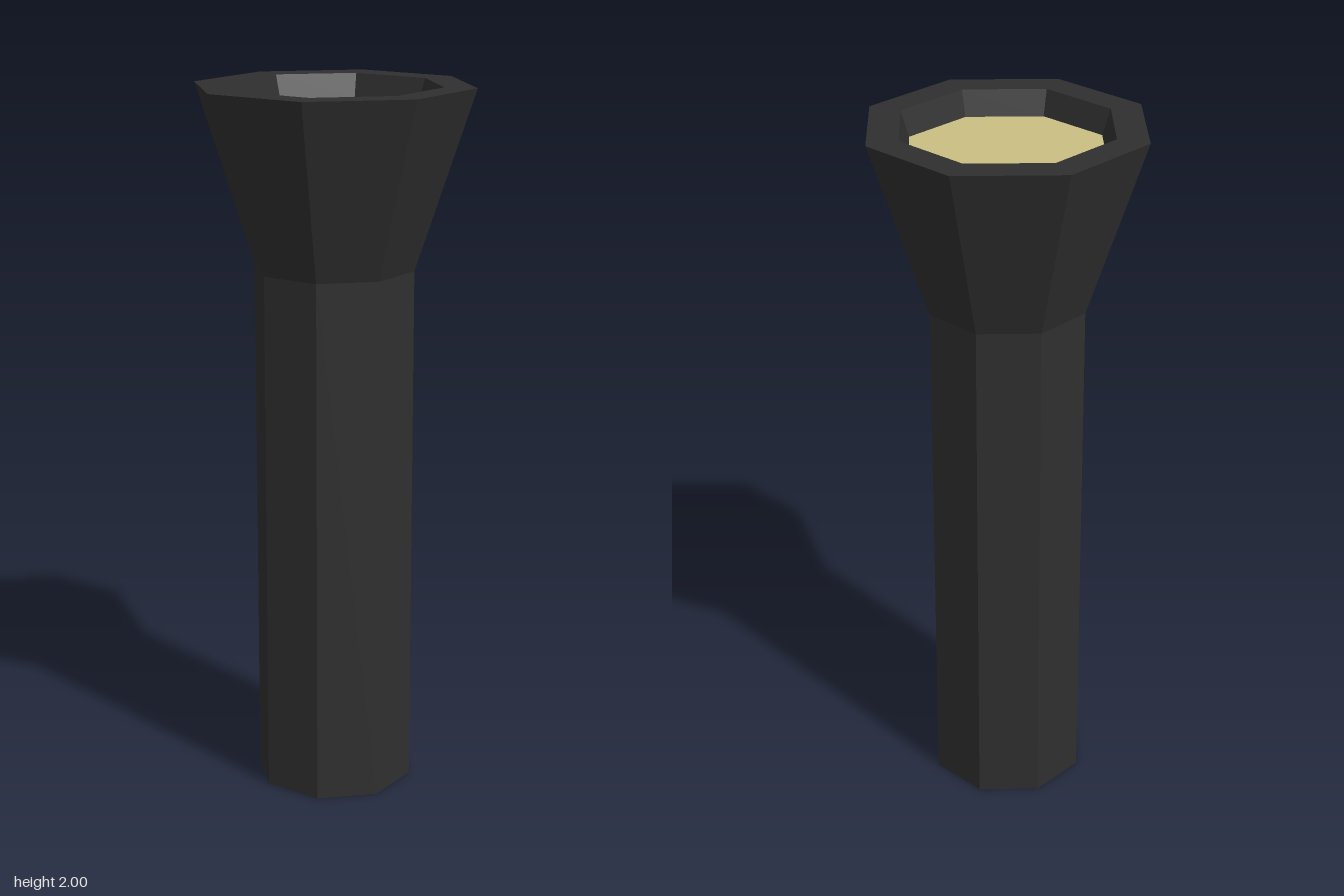
import * as THREE from 'three';

const SIDES = 8;

export function createModel() {
  const casing = new THREE.MeshStandardMaterial({ color: 0x2f2f2f, flatShading: true });
  casing.name = 'dark casing';
  const glass = new THREE.MeshStandardMaterial({ color: 0xc9be83, flatShading: true });
  glass.name = 'pale yellow lens';

  const model = new THREE.Group();
  model.name = 'flashlight';

  // Eight-sided shell turned from a [radius, height] profile
  const turn = (name, profile, material) => {
    const points = profile.map(([r, y]) => new THREE.Vector2(r, y));
    const mesh = new THREE.Mesh(new THREE.LatheGeometry(points, SIDES), material);
    mesh.name = name;
    model.add(mesh);
  };

  // Straight grip, closed at the bottom
  turn('handle', [[0, 0], [0.225, 0], [0.225, 1.5]], casing);

  // Flared head: outer cone, flat rim, then the sloping recess wall
  turn('head', [[0.225, 1.5], [0.39, 2], [0.3, 2], [0.277, 1.93]], casing);

  // Flat lens at the bottom of the recess
  const lens = new THREE.Mesh(new THREE.CircleGeometry(0.277, SIDES), glass);
  lens.name = 'lens';
  lens.rotation.x = -Math.PI / 2;
  lens.position.y = 1.93;
  model.add(lens);

  return model;
}
